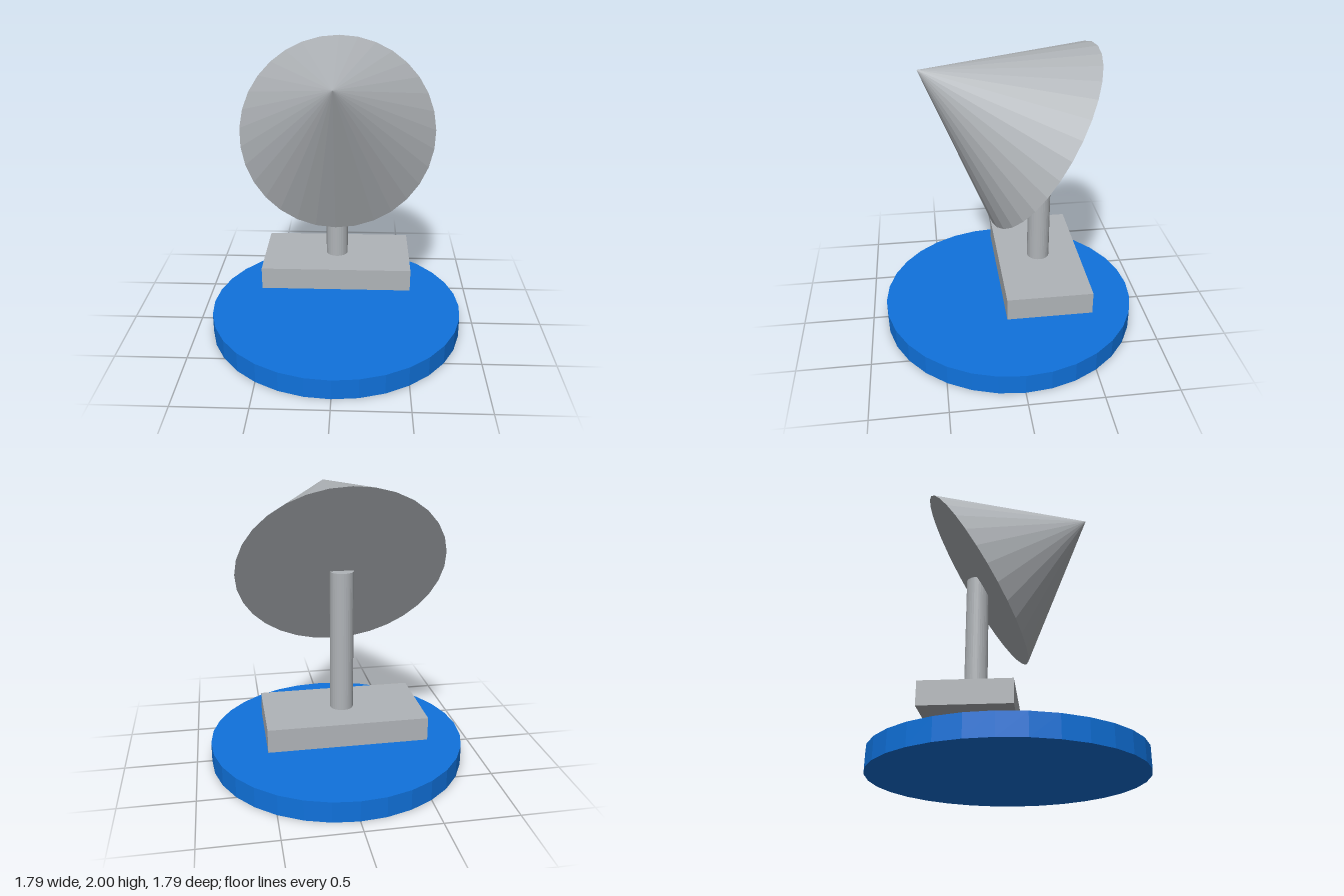
import * as THREE from 'three';

export function createModel() {
  const model = new THREE.Group();
  model.name = 'dishOnStand';

  const material = (name, color) => {
    const m = new THREE.MeshStandardMaterial({ color, flatShading: true });
    m.name = name;
    return m;
  };
  const blue = material('blue', 0x1072dc);
  const grey = material('grey', 0xb0b4b8);

  const add = (name, geometry, mat, x, y, z) => {
    const mesh = new THREE.Mesh(geometry, mat);
    mesh.name = name;
    mesh.position.set(x, y, z);
    model.add(mesh);
    return mesh;
  };

  const SIDES = 32;
  const postZ = -0.216;

  // Round ground disc
  add('baseDisc', new THREE.CylinderGeometry(0.895, 0.895, 0.143, SIDES), blue, 0, 0.0715, 0);

  // Slab floating above the disc
  add('slab', new THREE.BoxGeometry(1.054, 0.157, 0.58), grey, 0, 0.3885, postZ);

  // Upright post, reaching the centre of the cone's base
  add('post', new THREE.CylinderGeometry(0.078, 0.078, 0.95, SIDES), grey, 0, 0.938, postZ);

  // Closed cone, its tip aimed forward and 31 degrees upward
  const height = 0.92;
  const tilt = THREE.MathUtils.degToRad(58.9);
  const coneGeometry = new THREE.ConeGeometry(0.683, height, SIDES);
  coneGeometry.translate(0, height / 2, 0);
  add('cone', coneGeometry, grey, 0, 1.415, postZ).rotation.x = tilt;

  return model;
}
